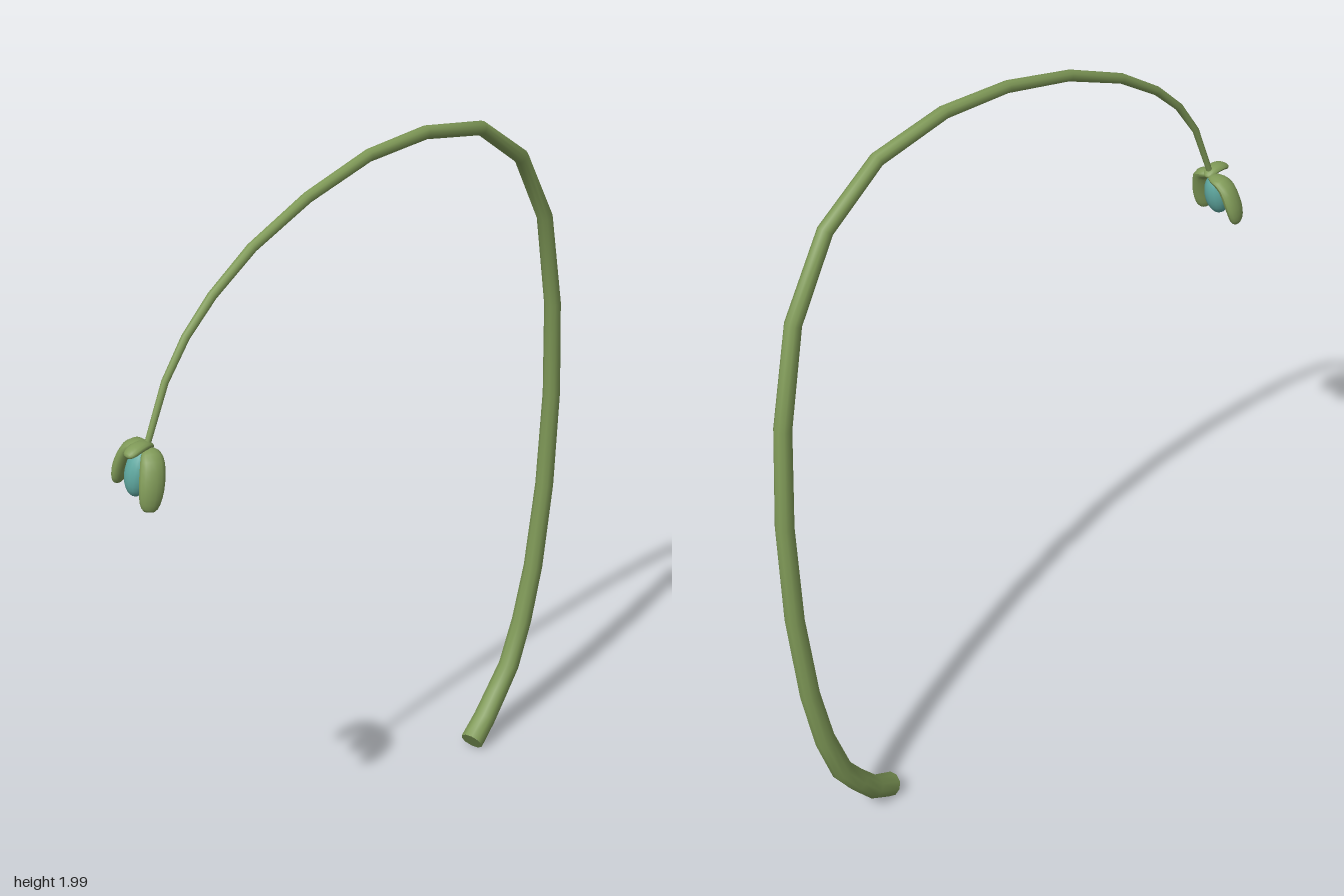
import * as THREE from 'three';

const green = new THREE.MeshStandardMaterial({ color: 0x809a58 });
const teal = new THREE.MeshStandardMaterial({ color: 0x5fa8a0 });
const v = (x, y, z) => new THREE.Vector3(x, y, z);

// Curve whose rings fall exactly on its control points
class KnotCurve extends THREE.CatmullRomCurve3 {
  getPointAt(u, target) { return this.getPoint(u, target); }
  getTangentAt(u, target) { return this.getTangent(u, target); }
}

// Tapered stalk: one ring per path point, thick at the base
function makeStem(points, radiusAt) {
  const group = new THREE.Group();
  group.name = 'stem';
  const sides = 10, n = points.length - 1;
  const curve = new KnotCurve(points);
  const geo = new THREE.TubeGeometry(curve, n, 1, sides, false);
  const pos = geo.attributes.position, p = v(0, 0, 0);
  for (let i = 0; i < pos.count; i++) {
    const ring = Math.floor(i / (sides + 1));
    p.fromBufferAttribute(pos, i).sub(points[ring]).multiplyScalar(radiusAt(ring / n)).add(points[ring]);
    pos.setXYZ(i, p.x, p.y, p.z);
  }
  const stalk = new THREE.Mesh(geo, green);
  stalk.name = 'stalk';
  // Cut end at the ground
  const cap = new THREE.Mesh(new THREE.CircleGeometry(radiusAt(0), sides), green);
  cap.name = 'stemCutEnd';
  cap.position.copy(points[0]);
  cap.quaternion.setFromUnitVectors(v(0, 0, 1), curve.getTangent(0).negate());
  group.add(stalk, cap);
  return group;
}

// Fleshy petal: a sphere stretched along a curve, flat across its thickness
function makePetal(name, path, side, width, thick) {
  const curve = new THREE.CatmullRomCurve3(path);
  const geo = new THREE.SphereGeometry(1, 14, 14);
  const pos = geo.attributes.position, p = v(0, 0, 0);
  for (let i = 0; i < pos.count; i++) {
    p.fromBufferAttribute(pos, i);
    const t = THREE.MathUtils.clamp((p.y + 1) / 2, 0, 1);
    const r = Math.hypot(p.x, p.z);
    const blunt = r > 1e-5 ? Math.pow(r, -0.35) : 0;
    const swell = blunt * (0.75 + 0.25 * t);
    const tangent = curve.getTangent(t);
    const normal = side.clone().cross(tangent).normalize();
    const across = tangent.clone().cross(normal);
    const q = curve.getPoint(t)
      .addScaledVector(across, p.x * swell * width)
      .addScaledVector(normal, p.z * swell * thick);
    pos.setXYZ(i, q.x, q.y, q.z);
  }
  geo.computeVertexNormals();
  const mesh = new THREE.Mesh(geo, green);
  mesh.name = name;
  return mesh;
}

export function createModel() {
  const model = new THREE.Group();
  model.name = 'droopingFlower';

  // Arching stem, from the ground to the flower
  const path = [
    [0.09, 0.035, -0.52], [0.09, 0.08, -0.59], [0.097, 0.145, -0.645], [0.107, 0.215, -0.695],
    [0.12, 0.35, -0.74], [0.135, 0.52, -0.77], [0.15, 0.78, -0.792], [0.162, 1.07, -0.792],
    [0.168, 1.35, -0.768], [0.166, 1.62, -0.71], [0.156, 1.82, -0.59], [0.132, 1.94, -0.42],
    [0.098, 1.98, -0.205], [0.062, 1.97, 0], [0.028, 1.918, 0.215], [-0.006, 1.84, 0.4],
    [-0.03, 1.755, 0.53], [-0.047, 1.675, 0.615], [-0.062, 1.58, 0.68], [-0.08, 1.43, 0.735],
  ].map((a) => v(...a));
  model.add(makeStem(path, (t) => 0.034 - 0.026 * t));

  const flower = new THREE.Group();
  flower.name = 'flower';

  // Bud hanging inside the petals
  const bud = new THREE.Mesh(new THREE.SphereGeometry(1, 16, 12), teal);
  bud.name = 'bud';
  bud.scale.set(0.034, 0.062, 0.034);
  bud.position.set(-0.097, 1.365, 0.748);
  bud.rotation.set(-0.2, 0, -0.1);
  flower.add(bud);

  // Two drooping petals and one raised over the bud
  flower.add(
    makePetal('rightPetal',
      [v(-0.085, 1.425, 0.73), v(-0.135, 1.415, 0.722), v(-0.165, 1.365, 0.722), v(-0.178, 1.31, 0.73)],
      v(0.1, 0, 1), 0.038, 0.021),
    makePetal('leftPetal',
      [v(-0.075, 1.425, 0.733), v(-0.05, 1.41, 0.753), v(-0.038, 1.355, 0.773), v(-0.04, 1.288, 0.785)],
      v(-0.6, 0, 0.8), 0.036, 0.022),
    makePetal('raisedPetal',
      [v(-0.08, 1.425, 0.715), v(-0.082, 1.436, 0.74), v(-0.085, 1.436, 0.77), v(-0.09, 1.425, 0.8)],
      v(1, 0, 0), 0.024, 0.013),
  );
  model.add(flower);
  return model;
}
